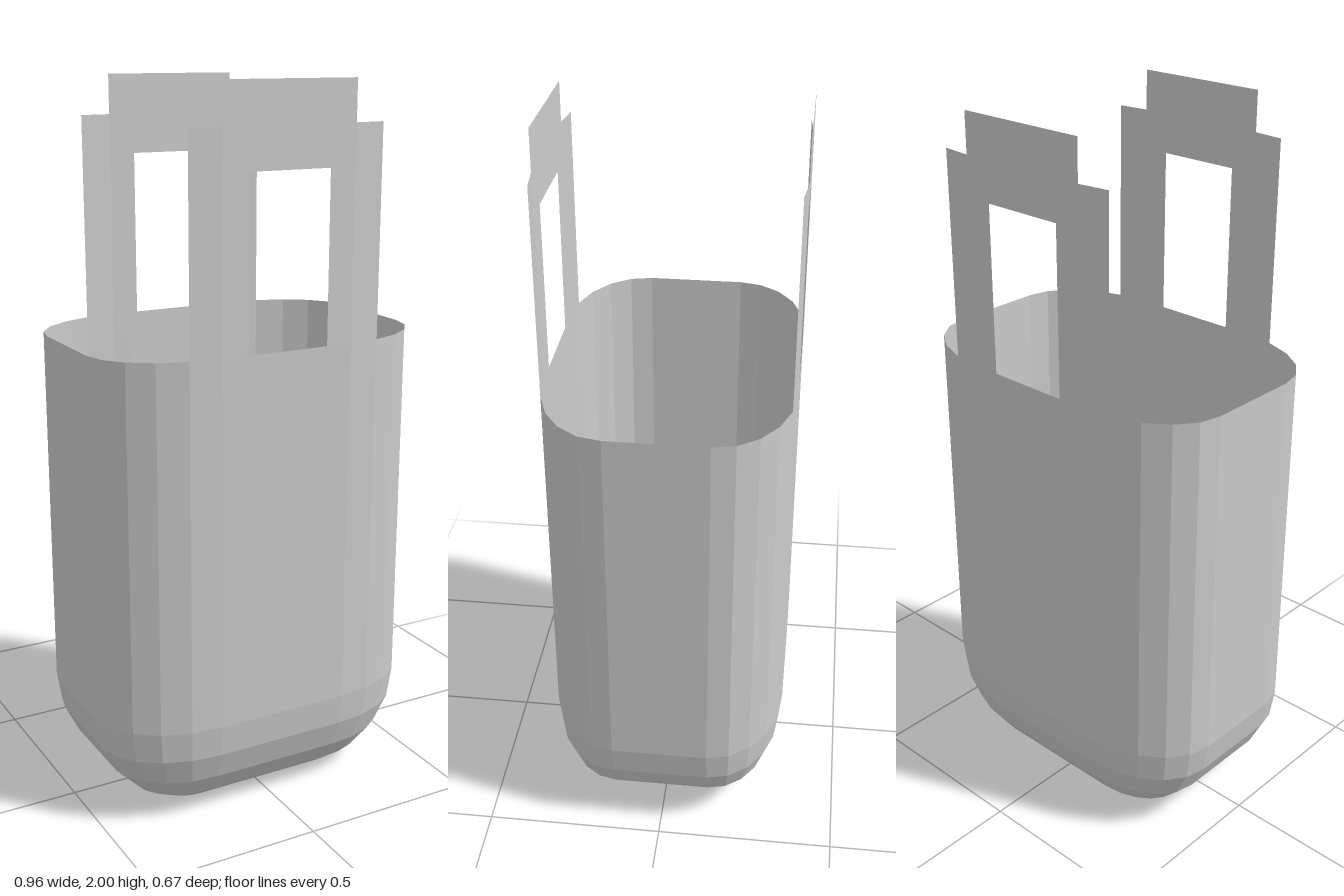
import * as THREE from 'three';

const CX = 0.193, CZ = 0.135;             // half size of the flat floor
const RX = 0.287, RY = 0.29, RZ = 0.2;    // corner radii
const SEG = 5;                            // facets per rounded corner
const RIM = 1.32;

const material = new THREE.MeshStandardMaterial({
  color: 0xcccccc, flatShading: true, side: THREE.DoubleSide,
});

// Rounded rectangle at height y; r scales the corner radii
function ring(y, r) {
  const pts = [];
  for (let k = 0; k < 4; k++) {
    const sx = k < 2 ? 1 : -1, sz = k === 0 || k === 3 ? 1 : -1;
    for (let i = 0; i <= SEG; i++) {
      const t = (k + i / SEG) * Math.PI / 2;
      pts.push(sx * CX + r * RX * Math.sin(t), y, sz * CZ + r * RZ * Math.cos(t));
    }
  }
  return pts;
}

// Walls and curved underside: rings from the floor edge up to the rim
function bodyGeometry() {
  const positions = [], index = [];
  for (let j = 0; j <= SEG; j++) {
    const a = (j / SEG) * Math.PI / 2;
    positions.push(...ring(RY * (1 - Math.cos(a)), Math.sin(a)));
  }
  positions.push(...ring(RIM, 1));
  const n = 4 * (SEG + 1);
  for (let j = 0; j <= SEG; j++) {
    for (let i = 0; i < n; i++) {
      const a = j * n + i, b = j * n + (i + 1) % n;
      // the lowest ring has no length inside the corners
      if (j > 0 || i % (SEG + 1) === SEG) index.push(a, b, b + n);
      index.push(a, b + n, a + n);
    }
  }
  const geometry = new THREE.BufferGeometry();
  geometry.setAttribute('position', new THREE.Float32BufferAttribute(positions, 3));
  geometry.setIndex(index);
  geometry.computeVertexNormals();
  return geometry;
}

function add(parent, name, geometry) {
  const mesh = new THREE.Mesh(geometry, material);
  mesh.name = name;
  parent.add(mesh);
  return mesh;
}

// Handle: flat arch plus two side strips that follow the first corner facet
function createHandle(name) {
  const handle = new THREE.Group();
  handle.name = name;
  const z = CZ + RZ, hole = 0.118, holeTop = 1.78, top = 2, stripTop = 1.89;

  const arch = new THREE.Shape([
    [-CX, RIM], [-hole, RIM], [-hole, holeTop], [hole, holeTop],
    [hole, RIM], [CX, RIM], [CX, top], [-CX, top],
  ].map(([x, y]) => new THREE.Vector2(x, y)));
  add(handle, 'handleArch', new THREE.ShapeGeometry(arch).translate(0, 0, z));

  const t = Math.PI / 2 / SEG;
  const outerX = CX + RX * Math.sin(t), outerZ = CZ + RZ * Math.cos(t);
  for (const side of [-1, 1]) {
    const strip = new THREE.PlaneGeometry(outerX - CX, stripTop - RIM);
    strip.translate(side * (CX + outerX) / 2, (RIM + stripTop) / 2, 0);
    const p = strip.attributes.position;
    for (let i = 0; i < p.count; i++) {
      p.setZ(i, Math.abs(p.getX(i)) > (CX + outerX) / 2 ? outerZ : z);
    }
    strip.computeVertexNormals();
    add(handle, side > 0 ? 'leftHandleStrip' : 'rightHandleStrip', strip);
  }
  return handle;
}

export function createModel() {
  const bag = new THREE.Group();
  bag.name = 'bag';
  add(bag, 'body', bodyGeometry());
  add(bag, 'floor', new THREE.PlaneGeometry(2 * CX, 2 * CZ).rotateX(Math.PI / 2));

  const front = createHandle('frontHandle');
  const back = createHandle('backHandle');
  back.rotation.y = Math.PI;
  bag.add(front, back);
  return bag;
}
